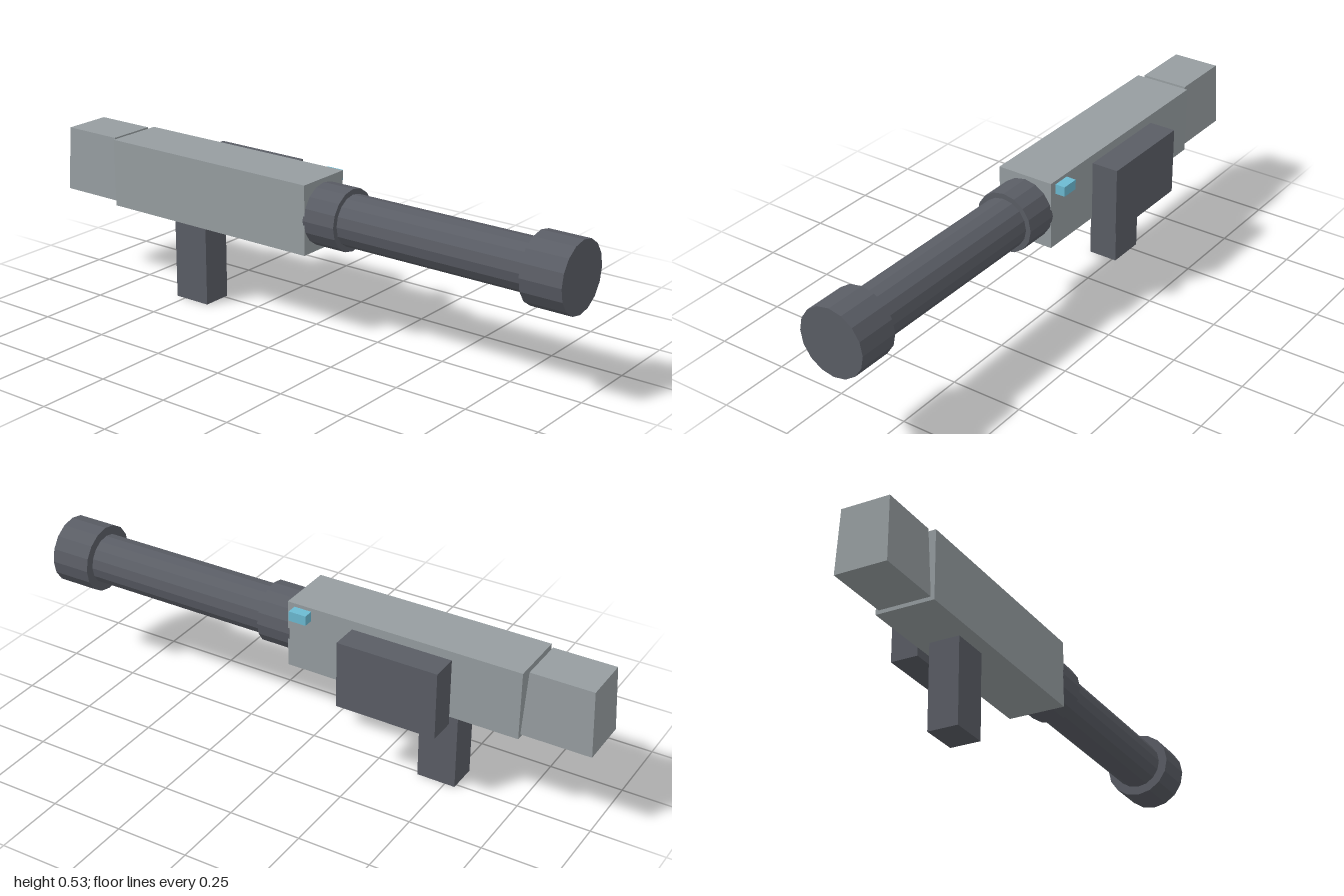
import * as THREE from 'three';

const AXIS_X = -0.039, AXIS_Y = 0.412;

export function createModel() {
  const group = new THREE.Group();
  const material = (name, color) => {
    const m = new THREE.MeshStandardMaterial({ color, flatShading: true });
    m.name = name;
    return m;
  };
  const dark = material('dark grey', 0x5a5d65);
  const light = material('light grey', 0x969da0);
  const blue = material('light blue', 0x6cbad2);

  const add = (name, geometry, mat) => {
    const mesh = new THREE.Mesh(geometry, mat);
    mesh.name = name;
    group.add(mesh);
    return mesh;
  };

  // Box given by its limits on each axis
  const box = (name, mat, [x0, x1], [y0, y1], [z0, z1]) => {
    const mesh = add(name, new THREE.BoxGeometry(x1 - x0, y1 - y0, z1 - z0), mat);
    mesh.position.set((x0 + x1) / 2, (y0 + y1) / 2, (z0 + z1) / 2);
    return mesh;
  };

  // Sixteen-sided cylinder along the barrel axis
  const tube = (name, radius, z0, z1) => {
    const geometry = new THREE.CylinderGeometry(radius, radius, z1 - z0, 16).rotateX(Math.PI / 2);
    add(name, geometry, dark).position.set(AXIS_X, AXIS_Y, (z0 + z1) / 2);
  };

  // Barrel
  tube('muzzle', 0.117, 0.857, 1);
  tube('barrel', 0.086, 0.17, 0.86);
  tube('barrelCollar', 0.104, 0.055, 0.176);

  // Body, grip and side fittings
  box('body', light, [-0.14, 0.061], [0.295, 0.53], [-0.763, 0.06]);
  box('grip', dark, [-0.091, 0.014], [0, 0.3], [-0.535, -0.4]);
  box('sideBox', dark, [0.06, 0.155], [0.267, 0.5], [-0.527, -0.176]);
  box('sideLight', blue, [0.06, 0.096], [0.484, 0.518], [-0.027, 0.035]);

  // Rear block, narrowing slightly toward its top
  const rear = box('rearBlock', light, [-0.128, 0.05], [0.307, 0.53], [-1, -0.764]);
  const p = rear.geometry.attributes.position;
  for (let i = 0; i < p.count; i++) {
    if (p.getY(i) > 0) p.setXYZ(i, p.getX(i) * 0.93, p.getY(i), p.getZ(i) * 0.9);
  }
  rear.geometry.computeVertexNormals();

  return group;
}
